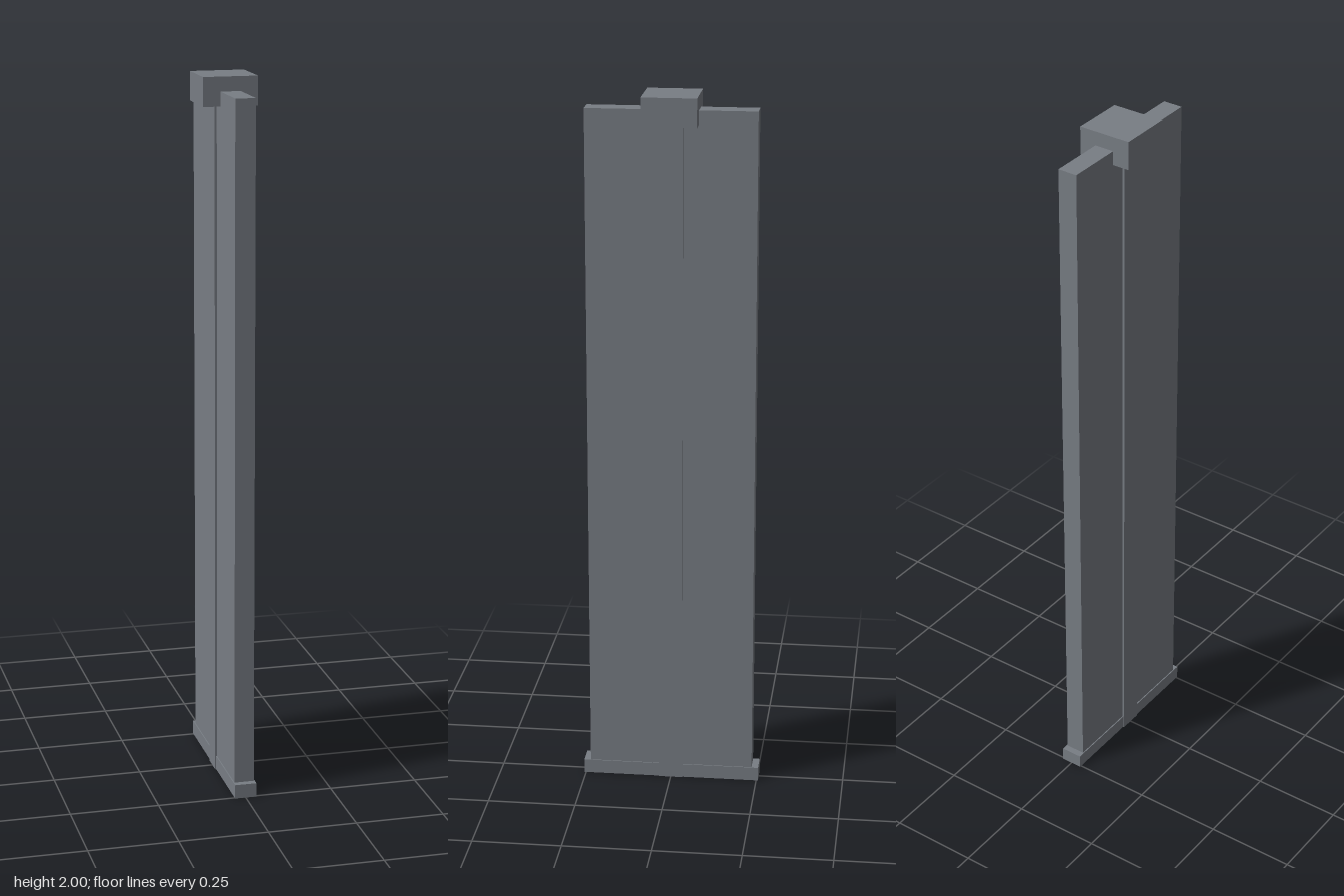
import * as THREE from 'three';

export function createModel() {
  const model = new THREE.Group();
  model.name = 'panelOnPost';

  const greyMetal = new THREE.MeshStandardMaterial({ color: 0x787d84 });
  greyMetal.name = 'greyMetal';

  // box spanning y0..y1, centred on x and z
  function addBox(name, width, depth, y0, y1) {
    const mesh = new THREE.Mesh(new THREE.BoxGeometry(width, y1 - y0, depth), greyMetal);
    mesh.name = name;
    mesh.position.y = (y0 + y1) / 2;
    model.add(mesh);
  }

  // low sill under the panel
  addBox('baseRail', 0.062, 0.51, 0, 0.04);
  // tall thin slab
  addBox('panel', 0.056, 0.472, 0.04, 1.96);
  // square post standing slightly proud of the panel
  addBox('centrePost', 0.068, 0.068, 0, 1.92);
  // block on top of the post
  addBox('capBlock', 0.152, 0.152, 1.92, 2);

  return model;
}
